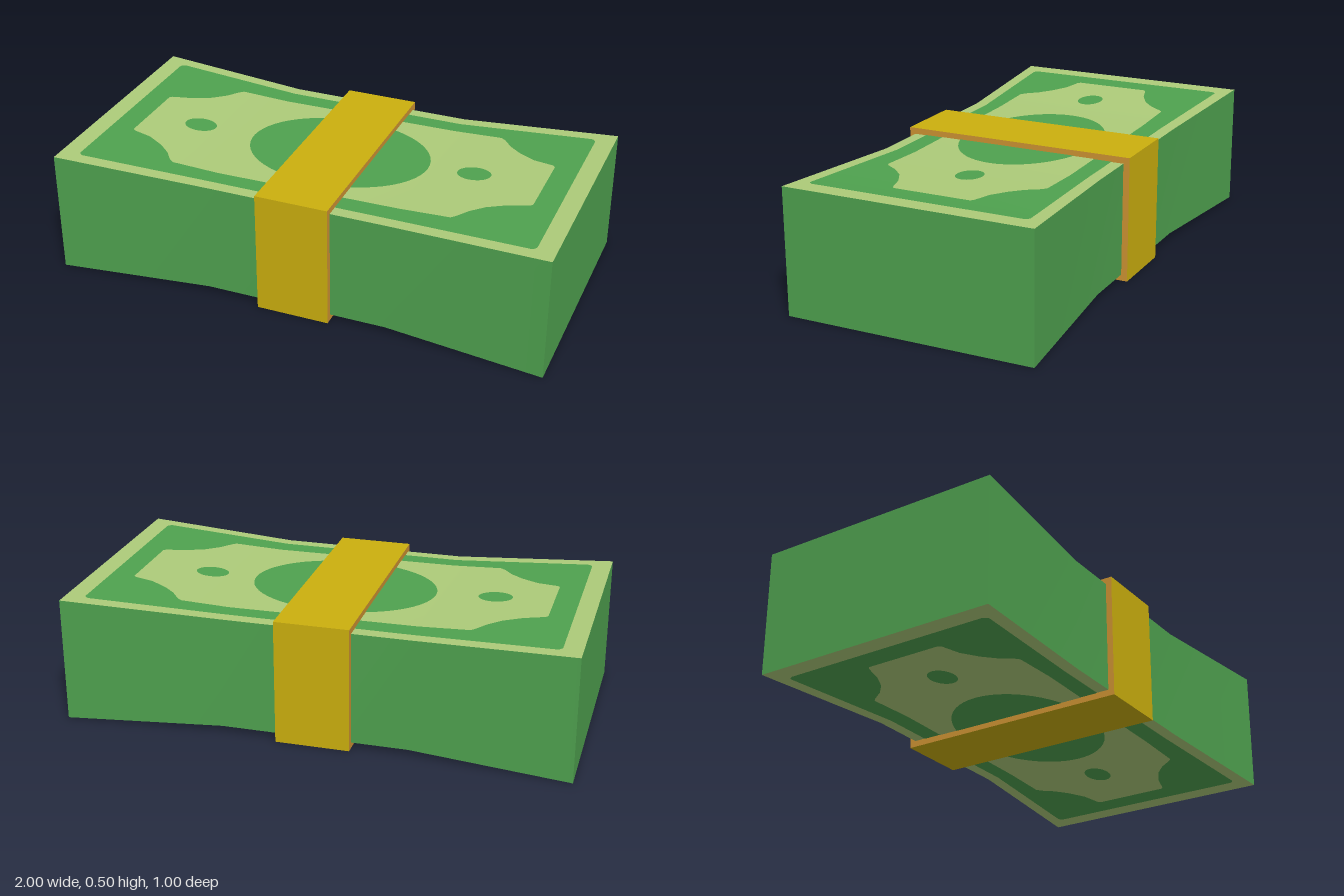
import * as THREE from 'three';

const KINK = 0.37;
// How far the stack flares at x: 0 in the pinched middle, 1 at the ends.
const flare = (x) => Math.max(0, (Math.abs(x) - KINK) / (1 - KINK));
const halfHeight = (x) => 0.225 + 0.025 * flare(x);
const halfDepth = (x) => 0.454 + 0.046 * flare(x);

// Ribbon along x between two edge curves, each giving [y, z] at x.
function ribbon(xs, edgeA, edgeB) {
  const positions = [], index = [];
  xs.forEach((x, i) => {
    positions.push(x, ...edgeA(x), x, ...edgeB(x));
    if (i > 0) {
      const a = 2 * (i - 1);
      index.push(a, a + 2, a + 3, a, a + 3, a + 1);
    }
  });
  const g = new THREE.BufferGeometry();
  g.setAttribute('position', new THREE.Float32BufferAttribute(positions, 3));
  g.setIndex(index);
  g.computeVertexNormals();
  return g;
}

// Columns between two x values, with denser ends and the bend lines included.
function columns(from, to, n) {
  const xs = [];
  for (let i = 0; i <= n; i++) xs.push((from + to) / 2 - ((to - from) / 2) * Math.cos((Math.PI * i) / n));
  for (const k of [-KINK, KINK]) if (k > from && k < to) xs.push(k);
  return xs.sort((a, b) => a - b);
}

// Linear lookup in a profile of [distance from middle, half width].
function lookup(profile, d) {
  for (let i = 1; i < profile.length; i++) {
    const [d0, w0] = profile[i - 1], [d1, w1] = profile[i];
    if (d <= d1) return w0 + ((w1 - w0) * (d - d0)) / (d1 - d0);
  }
  return profile[profile.length - 1][1];
}

// Scalloped panel corners; opposite corners share a profile.
const cornerA = [[0, 0.325], [0.57, 0.325], [0.585, 0.31], [0.62, 0.26], [0.67, 0.213], [0.74, 0.175], [0.82, 0.15], [0.83, 0.14]];
const cornerB = [[0, 0.335], [0.565, 0.337], [0.585, 0.322], [0.62, 0.277], [0.67, 0.235], [0.74, 0.195], [0.82, 0.177], [0.83, 0.167]];

export function createModel() {
  const green = new THREE.MeshStandardMaterial({ name: 'noteGreen', color: 0x4fa24f });
  const pale = new THREE.MeshStandardMaterial({ name: 'notePaleGreen', color: 0xadcb79 });
  const gold = new THREE.MeshStandardMaterial({ name: 'bandGold', color: 0xcbaf0e });
  const orange = new THREE.MeshStandardMaterial({ name: 'bandEdgeOrange', color: 0xcf9433 });

  const group = new THREE.Group();
  group.name = 'banknoteStack';
  const add = (name, geometry, material, parent = group) => {
    const mesh = new THREE.Mesh(geometry, material);
    mesh.name = name;
    parent.add(mesh);
    return mesh;
  };

  // Long sides and ends of the stack
  const bodyXs = [-1, -KINK, KINK, 1];
  for (const s of [1, -1]) {
    add(s > 0 ? 'frontSide' : 'backSide', ribbon(bodyXs,
      (x) => [0.25 - s * halfHeight(x), s * halfDepth(x)],
      (x) => [0.25 + s * halfHeight(x), s * halfDepth(x)]), green);
    const end = add(s > 0 ? 'leftEnd' : 'rightEnd', new THREE.PlaneGeometry(1, 0.5), green);
    end.position.set(s, 0.25, 0);
    end.rotation.y = (s * Math.PI) / 2;
  }

  // Printed faces, top and bottom, as thin layers that follow the bend
  for (const s of [1, -1]) {
    const face = new THREE.Group();
    face.name = s > 0 ? 'topNote' : 'bottomNote';
    group.add(face);
    const print = (name, material, layer, xs, zMin, zMax) => {
      const y = (x) => 0.25 + s * (halfHeight(x) + layer * 0.0012);
      const near = (x) => [y(x), zMax(x)], far = (x) => [y(x), zMin(x)];
      add(name, s > 0 ? ribbon(xs, near, far) : ribbon(xs, far, near), material, face);
    };
    const oval = (name, layer, cx, cz, rx, rz) => {
      const h = (x) => rz * Math.sqrt(Math.max(0, 1 - ((x - cx) / rx) ** 2));
      print(name, green, layer, columns(cx - rx, cx + rx, 28), (x) => cz - h(x), (x) => cz + h(x));
    };

    print('paperMargin', pale, 0, bodyXs, (x) => -halfDepth(x), halfDepth);

    const border = (x) => 0.405 + 0.042 * flare(x) - 0.018 * Math.max(0, (Math.abs(x) - 0.907) / 0.018) ** 2;
    const borderXs = [-0.925, -0.92, -0.915, -0.907, -KINK, KINK, 0.907, 0.915, 0.92, 0.925];
    print('borderFrame', green, 1, borderXs, (x) => -border(x), border);

    const ds = [...new Set([...cornerA, ...cornerB].map((p) => p[0]).concat(KINK))].filter((d) => d > 0);
    const panelXs = [...ds.map((d) => -d), ...ds].sort((a, b) => a - b);
    print('scallopedPanel', pale, 2, panelXs,
      (x) => -lookup(x < 0 ? cornerA : cornerB, Math.abs(x)),
      (x) => lookup(x < 0 ? cornerB : cornerA, Math.abs(x)));

    oval('centreOval', 3, 0, 0, 0.37, 0.27);
    oval('rightSpot', 3, -0.602, 0.018, 0.067, 0.05);
    oval('leftSpot', 3, 0.552, -0.016, 0.067, 0.05);
  }

  // Paper band with differently coloured cut edges
  const band = add('band', new THREE.BoxGeometry(0.294, 0.5, 0.958), [orange, orange, gold, gold, gold, gold]);
  band.position.set(-0.002, 0.25, 0);
  return group;
}
